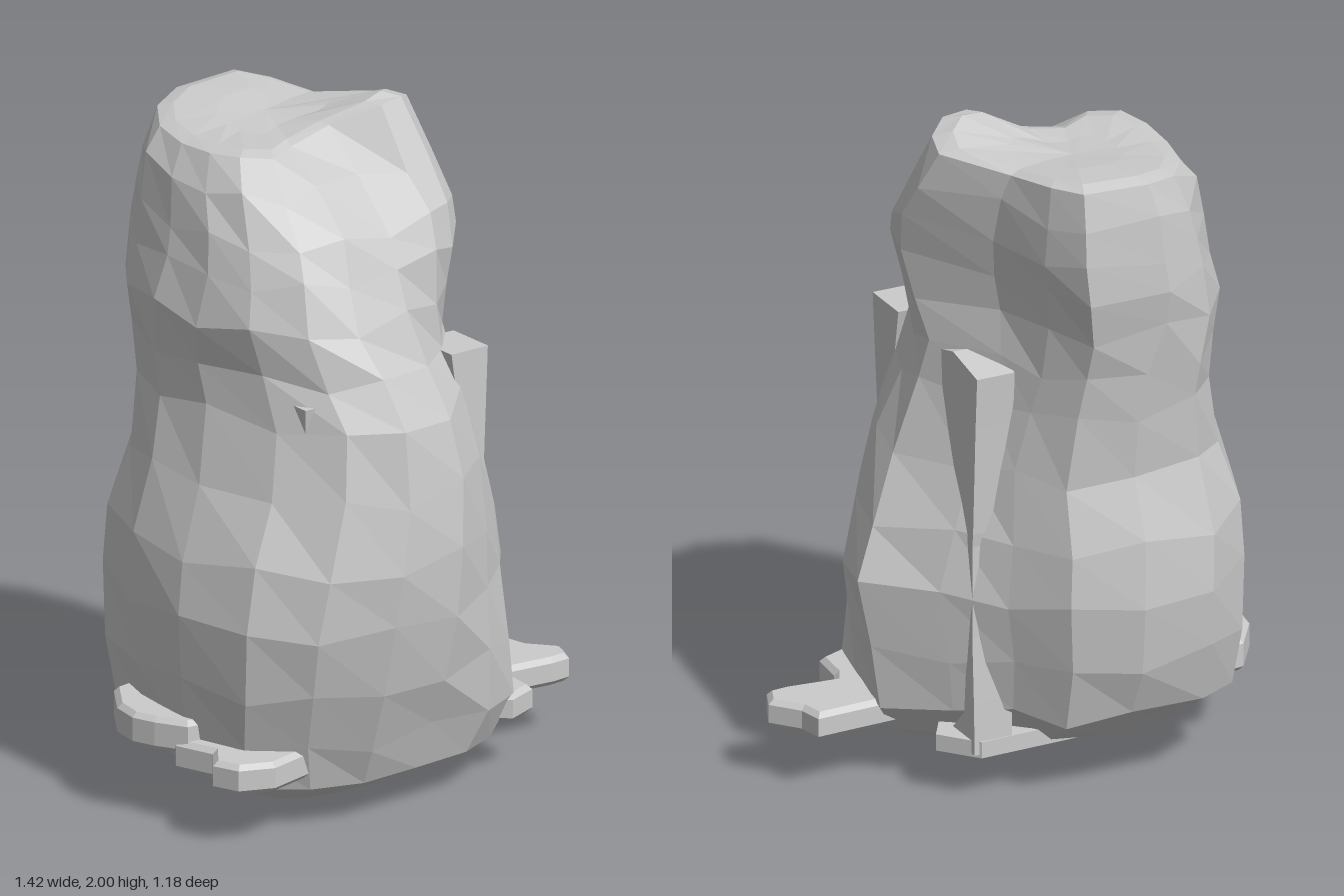
import * as THREE from 'three';

const material = new THREE.MeshStandardMaterial({ color: 0xcccccc, flatShading: true, side: THREE.DoubleSide });
const { lerp, smoothstep } = THREE.MathUtils;

// Plan outlines [x, z] of the base, belly, chest and head
const basePlan = [[.51, -.06], [.48, .2], [.42, .43], [.25, .53], [0, .56], [-.25, .58], [-.45, .5], [-.6, .35],
  [-.66, .1], [-.64, -.17], [-.57, -.43], [-.41, -.55], [-.15, -.57], [.06, -.52], [.18, -.37], [.33, -.23]];
const bellyPlan = [[.51, -.06], [.44, .17], [.32, .32], [.19, .43], [0, .54], [-.25, .58], [-.46, .49], [-.6, .34],
  [-.66, .1], [-.64, -.15], [-.55, -.4], [-.38, -.54], [-.15, -.57], [.06, -.52], [.18, -.36], [.33, -.22]];
const chestPlan = [[.33, -.04], [.32, .08], [.27, .21], [.18, .33], [.03, .46], [-.2, .53], [-.35, .44], [-.47, .26],
  [-.54, .02], [-.55, -.18], [-.48, -.37], [-.36, -.5], [-.15, -.53], [.04, -.5], [.13, -.37], [.2, -.25]];
const headPlan = [[.34, 0], [.32, .1], [.24, .18], [.13, .24], [-.04, .27], [-.22, .28], [-.36, .25], [-.46, .14],
  [-.5, 0], [-.5, -.18], [-.46, -.37], [-.36, -.52], [-.22, -.59], [.04, -.59], [.11, -.46], [.17, -.25]];

// Body levels: y, min x, max x, min z, max z
const levels = [
  [0, -.26, -.18, .0, .08], [.03, -.38, .15, -.1, .22], [.12, -.55, .36, -.3, .4], [.25, -.61, .44, -.48, .45],
  [.42, -.64, .47, -.54, .52], [.62, -.66, .51, -.57, .57], [.8, -.64, .45, -.56, .59], [1, -.57, .37, -.51, .575],
  [1.2, -.52, .3, -.53, .545], [1.33, -.52, .28, -.55, .46], [1.47, -.54, .3, -.57, .385], [1.6, -.5, .33, -.59, .32],
  [1.7, -.475, .34, -.59, .27], [1.82, -.44, .32, -.585, .18], [1.9, -.38, .28, -.565, .09]];

function normalise(plan) {
  const xs = plan.map(p => p[0]), zs = plan.map(p => p[1]);
  const x0 = Math.min(...xs), x1 = Math.max(...xs), z0 = Math.min(...zs), z1 = Math.max(...zs);
  return plan.map(([x, z]) => [(x - x0) / (x1 - x0), (z - z0) / (z1 - z0)]);
}

const bump = (x, z, cx, cz, r) => Math.exp(-((x - cx) ** 2 + (z - cz) ** 2) / (r * r));
// Crown height: a peak at the front and a lower rise at the back
const crown = (x, z) => 1.9 + .1 * bump(x, z, .16, 0, .19) + .05 * bump(x, z, -.02, -.52, .28)
  + .02 * bump(x, z, -.36, -.02, .15);

function bodyGeometry() {
  const [base, belly, chest, head] = [basePlan, bellyPlan, chestPlan, headPlan].map(normalise), n = base.length;
  const rings = levels.map(([y, x0, x1, z0, z1], j) => base.map((p, i) => {
    const [u, v] = [0, 1].map(k => {
      const lower = lerp(p[k], belly[i][k], smoothstep(y, .25, .6));
      const middle = lerp(lower, chest[i][k], smoothstep(y, .55, 1.1));
      return lerp(middle, head[i][k], smoothstep(y, 1.25, 1.65));
    });
    const x = x0 + u * (x1 - x0);
    // The brow is notched between the two front corners
    const notch = v > .6 ? .15 * smoothstep(y, 1.72, 1.9) * bump(x, 0, -.09, 0, .16) : 0;
    const z = z0 + v * (z1 - z0) - notch;
    const wave = y > .2 && y < 1.85 ? .02 * Math.sin(i * 2.4 + j * 1.7) : 0;
    return [x, j === levels.length - 1 ? crown(x, z) - .01 : y + wave, z];
  }));
  // Close the crown with shrinking rings
  const rim = rings[rings.length - 1];
  for (const s of [.85, .45, 0]) {
    rings.push(rim.map(([x, , z]) => {
      const px = -.07 + (x + .07) * s, pz = -.27 + (z + .27) * s;
      return [px, crown(px, pz), pz];
    }));
  }
  // Close the underside
  rings.unshift(rings[0].map(() => [-.22, 0, .04]));
  const index = [];
  for (let j = 0; j < rings.length - 1; j++) {
    for (let i = 0; i < n; i++) {
      const k = (i + 1) % n, a = j * n + i, b = j * n + k, c = b + n, d = a + n;
      index.push(a, d, c, a, c, b);
    }
  }
  const geometry = new THREE.BufferGeometry();
  geometry.setAttribute('position', new THREE.Float32BufferAttribute(rings.flat(2), 3));
  geometry.setIndex(index);
  geometry.computeVertexNormals();
  return geometry;
}

function slab(points, depth, bevel = 0) {
  const shape = new THREE.Shape(points.map(p => new THREE.Vector2(...p)));
  return new THREE.ExtrudeGeometry(shape, {
    depth, bevelEnabled: bevel > 0, bevelSize: bevel, bevelOffset: -bevel, bevelThickness: bevel, bevelSegments: 1
  });
}

// Wedge narrowing from a rectangular top to a small tip
function wedge([x0, x1, z0, z1], top, [tx, ty, tz], tip) {
  const geometry = new THREE.BoxGeometry(1, 1, 1), p = geometry.attributes.position;
  for (let i = 0; i < p.count; i++) {
    const x = p.getX(i), z = p.getZ(i);
    if (p.getY(i) > 0) p.setXYZ(i, x > 0 ? x1 : x0, top, z > 0 ? z1 : z0);
    else p.setXYZ(i, tx + x * tip, ty, tz + z * tip);
  }
  geometry.computeVertexNormals();
  return geometry;
}

export function createModel() {
  const group = new THREE.Group();
  const add = (name, geometry) => {
    const mesh = new THREE.Mesh(geometry, material);
    mesh.name = name;
    group.add(mesh);
    return mesh;
  };

  add('body', bodyGeometry());

  // Flat feet, outlined in plan [x, z]
  const foot = (name, points, y, height) => {
    const b = .015;
    add(name, slab(points, height - 2 * b, b).rotateX(Math.PI / 2)).position.y = y - b;
  };
  foot('leftFoot', [[.28, -.04], [.52, -.05], [.63, -.055], [.645, .02], [.71, .1], [.68, .17], [.62, .175],
    [.47, .16], [.45, .2], [.44, .31], [.34, .35], [.28, .3]], .245, .085);
  foot('rightFoot', [[-.39, .36], [-.55, .4], [-.65, .36], [-.68, .28], [-.62, .2], [-.66, .08], [-.6, 0],
    [-.39, 0]], .25, .09);
  foot('rightHeel', [[-.5, .12], [-.64, .11], [-.69, .02], [-.715, -.05], [-.7, -.14], [-.62, -.26],
    [-.55, -.27], [-.5, -.2]], .31, .1);

  // Fin along the side groove, outlined [z, y], narrowing to a rod with a splayed foot
  const fin = add('sideFin', slab([[-.06, 1.31], [-.17, 1.34], [-.32, 1.31], [-.31, 1.15], [-.295, .82], [-.29, .78],
    [-.29, .5], [-.3, .3], [-.305, .14], [-.13, .14], [-.24, .25], [-.26, .5], [-.26, .8], [-.2, .85]], .12)
    .rotateY(-Math.PI / 2));
  fin.position.x = .26;
  add('finSole', slab([[-.1, -.3], [.24, -.31], [.33, -.2], [.28, -.12], [.05, -.14]], .05)
    .rotateX(Math.PI / 2)).position.y = .18;

  // Pointed wedges on the chest
  add('chestWedge', wedge([.12, .25, .19, .35], 1.32, [.21, .83, .33], .04));
  add('smallWedge', wedge([-.41, -.35, .24, .36], 1.27, [-.385, 1.16, .33], .02));
  return group;
}
